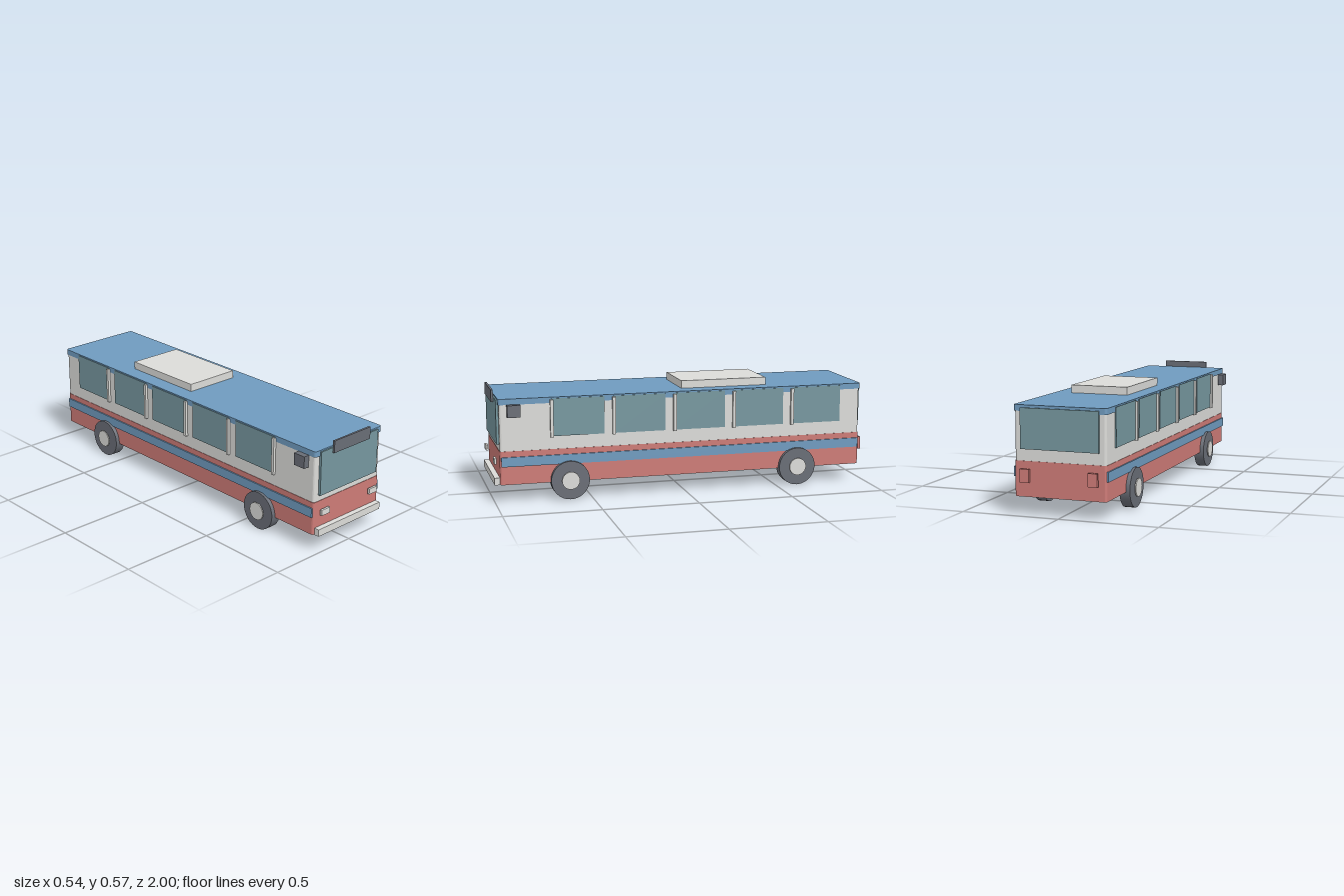
import * as THREE from 'three';

const mat = (name, color) => {
  const m = new THREE.MeshStandardMaterial({ color });
  m.name = name;
  return m;
};

export function createModel() {
  const bus = new THREE.Group();
  bus.name = 'bus';
  const white = mat('offWhite', 0xdcdcd9);
  const red = mat('red', 0xce7b77);
  const blue = mat('blue', 0x6f9bbf);
  const glass = mat('glass', 0x76979f);
  const dark = mat('darkGrey', 0x696d76);

  const add = (name, geometry, material) => {
    const mesh = new THREE.Mesh(geometry, material);
    mesh.name = name;
    bus.add(mesh);
    return mesh;
  };

  // Box given by its minimum and maximum on each axis
  const box = (name, material, [x0, x1], [y0, y1], [z0, z1]) => {
    const mesh = add(name, new THREE.BoxGeometry(x1 - x0, y1 - y0, z1 - z0), material);
    mesh.position.set((x0 + x1) / 2, (y0 + y1) / 2, (z0 + z1) / 2);
    return mesh;
  };

  // Box repeated on the left and right
  const pair = (name, material, [x0, x1], y, z) => {
    box(name + 'Left', material, [x0, x1], y, z);
    box(name + 'Right', material, [-x1, -x0], y, z);
  };

  // Horizontal slab with slightly rounded plan corners
  const slab = (name, material, w, l, y0, y1, r = 0.012) => {
    const s = new THREE.Shape();
    s.absarc(w - r, l - r, r, 0, Math.PI / 2);
    s.absarc(-w + r, l - r, r, Math.PI / 2, Math.PI);
    s.absarc(-w + r, -l + r, r, Math.PI, Math.PI * 1.5);
    s.absarc(w - r, -l + r, r, Math.PI * 1.5, Math.PI * 2);
    const g = new THREE.ExtrudeGeometry(s, { depth: y1 - y0, bevelEnabled: false, curveSegments: 3 });
    g.rotateX(-Math.PI / 2);
    add(name, g, material).position.y = y0;
  };

  // Body shell
  slab('body', white, 0.233, 0.97, 0.09, 0.51);
  slab('lowerPanel', red, 0.235, 0.972, 0.092, 0.264);
  slab('roof', blue, 0.237, 0.975, 0.503, 0.533);
  box('roofUnit', white, [-0.151, 0.151], [0.53, 0.573], [-0.465, 0]);
  pair('sideStripe', blue, [0.23, 0.242], [0.185, 0.234], [-0.965, 0.965]);

  // Side windows, each with a pillar at its front edge
  for (let i = 0; i < 5; i++) {
    const z = 0.705 - i * 0.3225;
    pair('sideWindow' + i, glass, [0.23, 0.24], [0.332, 0.526], [z - 0.273, z]);
    pair('pillar' + i, white, [0.237, 0.251], [0.327, 0.521], [z - 0.008, z + 0.008]);
  }

  // Front
  box('windshield', glass, [-0.203, 0.203], [0.296, 0.526], [0.965, 0.983]);
  box('destinationSign', dark, [-0.128, 0.128], [0.502, 0.565], [0.985, 0.996]);
  pair('headlight', white, [0.144, 0.2], [0.193, 0.223], [0.984, 0.996]);
  box('frontBumper', white, [-0.223, 0.223], [0.09, 0.127], [0.972, 1]);
  pair('mirror', dark, [0.237, 0.268], [0.442, 0.504], [0.866, 0.933]);

  // Rear
  box('rearWindow', glass, [-0.2, 0.2], [0.322, 0.52], [-0.983, -0.965]);
  pair('tailLight', red, [0.15, 0.198], [0.164, 0.229], [-1, -0.985]);

  // Wheels with hub discs
  const tyre = new THREE.CylinderGeometry(0.1, 0.1, 0.054, 32).rotateZ(Math.PI / 2);
  const hub = new THREE.CylinderGeometry(0.046, 0.046, 0.006, 24).rotateZ(Math.PI / 2);
  for (const side of [-1, 1]) {
    for (const z of [-0.615, 0.615]) {
      const label = (z > 0 ? 'front' : 'rear') + (side > 0 ? 'Left' : 'Right');
      add(label + 'Tyre', tyre, dark).position.set(side * 0.229, 0.1, z);
      add(label + 'Hub', hub, white).position.set(side * 0.265, 0.1, z);
    }
  }
  return bus;
}
